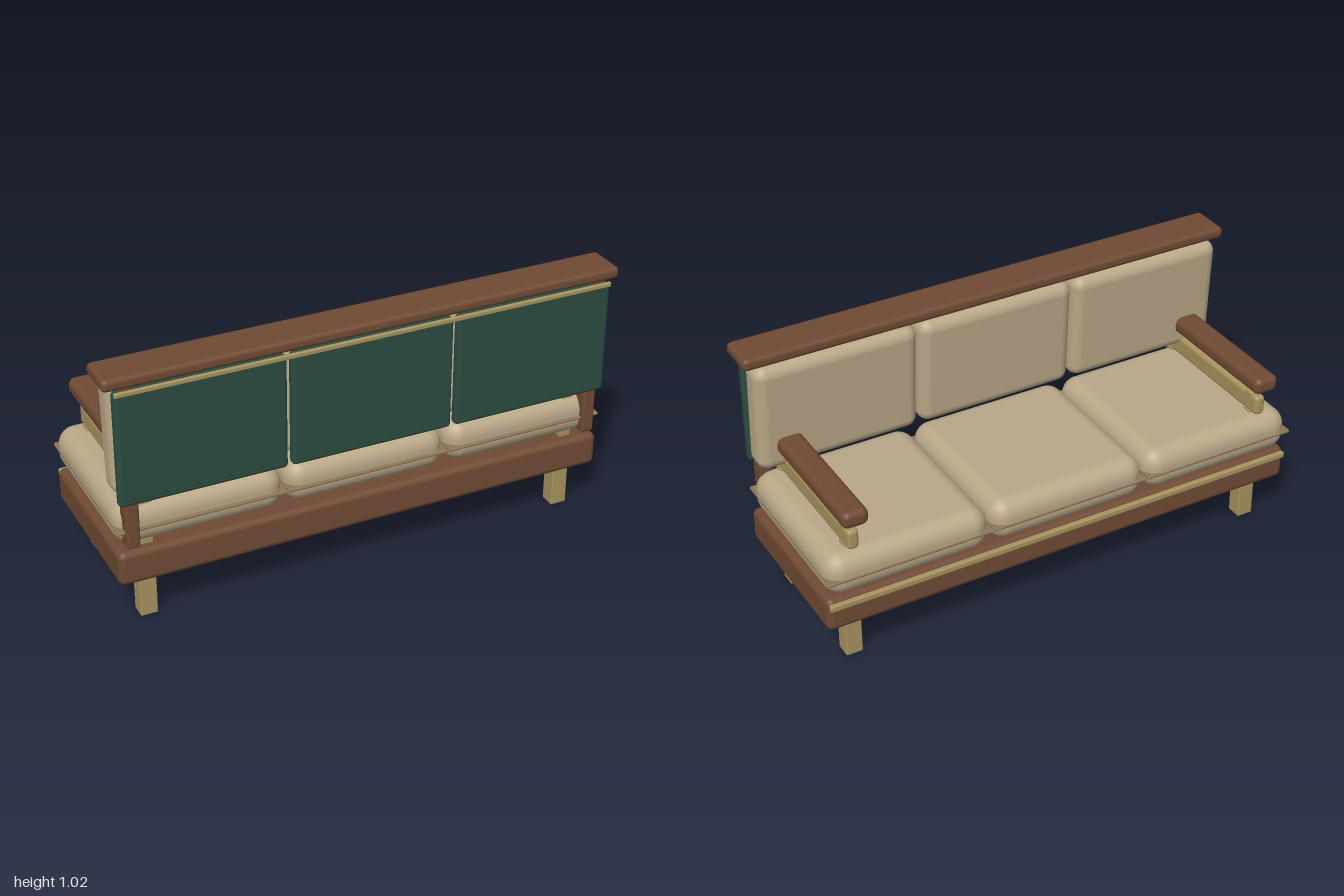
import * as THREE from 'three';
import { RoundedBoxGeometry } from 'three/addons/geometries/RoundedBoxGeometry.js';

const material = (name, color) => {
  const m = new THREE.MeshStandardMaterial({ color });
  m.name = name;
  return m;
};

export function createModel() {
  const sofa = new THREE.Group();
  sofa.name = 'sofa';
  const walnut = material('walnut', 0x6f4a33);
  const oak = material('oak', 0xa8935f);
  const linen = material('linen', 0xb9a888);
  const piping = material('piping', 0x8e7656);
  const green = material('greenPanel', 0x2b4c41);

  // Rounded block given by its extents on each axis
  const block = (name, mat, [x0, x1], [y0, y1], [z0, z1], r, segments = 4) => {
    const geometry = new RoundedBoxGeometry(x1 - x0, y1 - y0, z1 - z0, segments, r);
    const mesh = new THREE.Mesh(geometry, mat);
    mesh.name = name;
    mesh.position.set((x0 + x1) / 2, (y0 + y1) / 2, (z0 + z1) / 2);
    sofa.add(mesh);
    return mesh;
  };
  // Extents of a span around a centre
  const span = (centre, size) => [centre - size / 2, centre + size / 2];

  // Base frame, top shelf and slim trims
  block('base', walnut, [-0.97, 0.97], [0.18, 0.315], [-0.332, 0.325], 0.025);
  block('topShelf', walnut, [-1, 1], [0.975, 1.022], [0.188, 0.35], 0.018);
  block('backTrim', oak, [-0.962, 0.962], [0.953, 0.972], [0.344, 0.358], 0.005);
  block('frontTrim', oak, [-0.962, 0.962], [0.277, 0.301], [-0.347, -0.325], 0.005);

  // Three bays: seat cushion, back cushion, back panel
  for (const x of [-0.648, 0, 0.648]) {
    block('seatCushion', linen, span(x, 0.638), [0.325, 0.492], [-0.355, 0.315], 0.068, 6);
    block('seatPiping', piping, span(x, 0.642), [0.396, 0.408], [-0.358, 0.326], 0.005, 2);
    const back = block('backCushion', linen, span(x, 0.638), [0.535, 0.975], [0.183, 0.304], 0.045, 6);
    back.rotation.x = -0.06;
    block('backPanel', green, span(x, 0.632), [0.52, 0.967], [0.31, 0.35], 0.016);
  }

  // Each side: legs, arm supports and back post
  for (const side of [-1, 1]) {
    const x = 0.85 * side;
    for (const end of [-1, 1]) {
      block('leg', oak, span(x, 0.066), [0, 0.2], span(0.24 * end, 0.065), 0.006, 2);
      block('armPost', oak, span(x, 0.048), [0.3, 0.503], span(0.264 * end, 0.046), 0.006, 2);
      block('armPeg', oak, span(x, 0.048), [0.56, 0.582], span(0.267 * end, 0.046), 0.01);
    }
    block('armRail', oak, span(x, 0.044), [0.493, 0.573], [-0.32, 0.3], 0.016);
    block('armrest', walnut, span(x, 0.1), [0.605, 0.672], [-0.355, 0.27], 0.026);
    block('backPost', walnut, span(0.916 * side, 0.052), [0.34, 0.985], [0.276, 0.338], 0.01);
  }
  return sofa;
}
